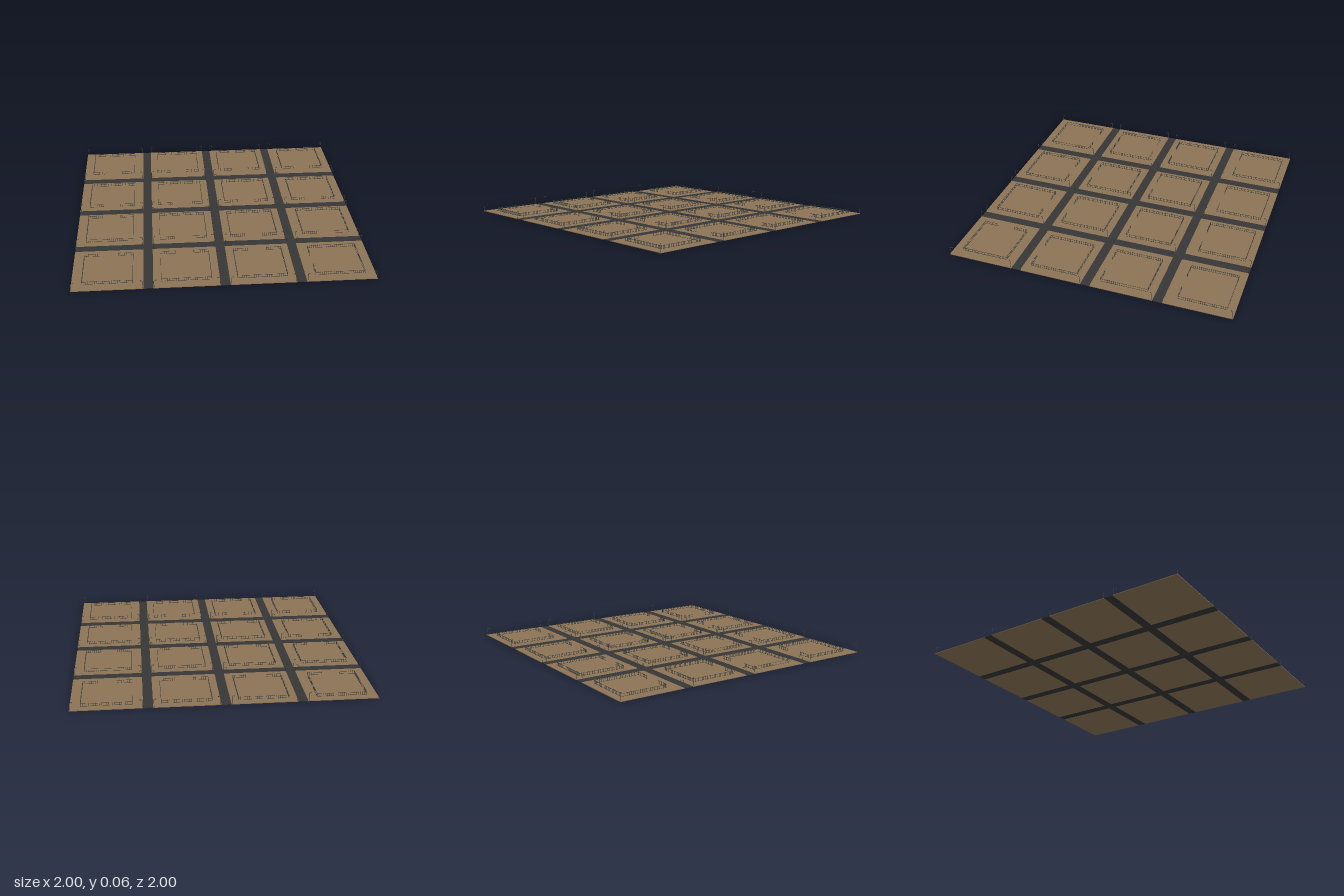
import * as THREE from 'three';
import { mergeGeometries } from 'three/addons/utils/BufferGeometryUtils.js';

const soil = new THREE.MeshStandardMaterial({ color: 0x8b7355 });
const asphalt = new THREE.MeshStandardMaterial({ color: 0x363636 });
const iron = new THREE.MeshStandardMaterial({ color: 0x3c4242 });

const ROAD = 0.064;   // road width
const BASE = 0.004;   // ground thickness
const WIRE = 0.0015;  // thickness of bars and poles

// Box standing on height y
function box(w, h, d, x, y, z) {
  return new THREE.BoxGeometry(w, h, d).translate(x, y + h / 2, z);
}

function addMesh(parent, name, geometry, material) {
  const mesh = new THREE.Mesh(geometry, material);
  mesh.name = name;
  parent.add(mesh);
  return mesh;
}

// One straight fence run along x from a to b
function fenceRun(a, b, z) {
  const parts = [0.006, 0.024].map(y => box(b - a, WIRE, WIRE, (a + b) / 2, y, z));
  const n = Math.round((b - a) / 0.0137);
  for (let i = 0; i <= n; i++) {
    parts.push(box(WIRE, 0.028 - BASE, WIRE, a + (b - a) * i / n, BASE, z));
  }
  return parts;
}

// Square fence with a gateway on one side (0 front, 1 left, 2 back, 3 right)
function fenceGeometry(gateSide) {
  const half = 0.165, gate = 0.064, parts = [];
  for (let side = 0; side < 4; side++) {
    const runs = side === gateSide
      ? [...fenceRun(-half, -gate, half), ...fenceRun(gate, half, half)]
      : fenceRun(-half, half, half);
    runs.forEach(g => parts.push(g.rotateY(side * Math.PI / 2)));
  }
  return mergeGeometries(parts);
}

// Pole with an arm along +x and a drooping lamp head
function lampGeometry() {
  const reach = 0.019;
  return mergeGeometries([
    box(0.002, 0.056 - BASE, 0.002, 0, BASE, 0),
    box(reach, 0.002, 0.002, reach / 2, 0.054, 0),
    box(0.003, 0.006, 0.003, reach, 0.049, 0),
  ]);
}

export function createModel() {
  const model = new THREE.Group();
  const edges = [-1, -0.5, 0, 0.5, 1];
  // Start and end of each block between the roads
  const spans = [0, 1, 2, 3].map(i => [
    edges[i] + (i > 0 ? ROAD / 2 : 0),
    edges[i + 1] - (i < 3 ? ROAD / 2 : 0),
  ]);
  const gates = [[0, 0, 0, 0], [0, 0, 0, 0], [2, 0, 0, 0], [2, 2, 2, 3]];
  const lotZ = [-0.782, -0.249, 0.249, 0.766];
  const lamp = lampGeometry();

  // Roads: full lengths across, pieces between them the other way
  const roads = new THREE.Group();
  roads.name = 'roads';
  model.add(roads);
  for (const c of [-0.5, 0, 0.5]) {
    addMesh(roads, 'crossRoad', box(2, BASE, ROAD, 0, 0, c), asphalt);
    for (const [z0, z1] of spans) {
      addMesh(roads, 'longRoad', box(ROAD, BASE, z1 - z0, c, 0, (z0 + z1) / 2), asphalt);
    }
  }

  // Blocks, each with a fenced lot and a lamp in every corner
  spans.forEach(([z0, z1], row) => spans.forEach(([x0, x1], col) => {
    const block = new THREE.Group();
    block.name = 'block';
    model.add(block);
    const cx = (x0 + x1) / 2, cz = (z0 + z1) / 2;
    addMesh(block, 'ground', box(x1 - x0, BASE, z1 - z0, cx, 0, cz), soil);

    const fence = addMesh(block, 'fence', fenceGeometry(gates[row][col]), iron);
    fence.position.set(cx, 0, lotZ[row]);

    for (const sx of [-1, 1]) for (const sz of [-1, 1]) {
      const post = addMesh(block, 'streetLamp', lamp, iron);
      post.position.set(
        cx + sx * ((x1 - x0) / 2 - 0.005), 0,
        cz + sz * ((z1 - z0) / 2 - 0.005));
      // Arm points to the middle of the block
      post.rotation.y = Math.atan2(sz, -sx);
    }
  }));

  return model;
}
